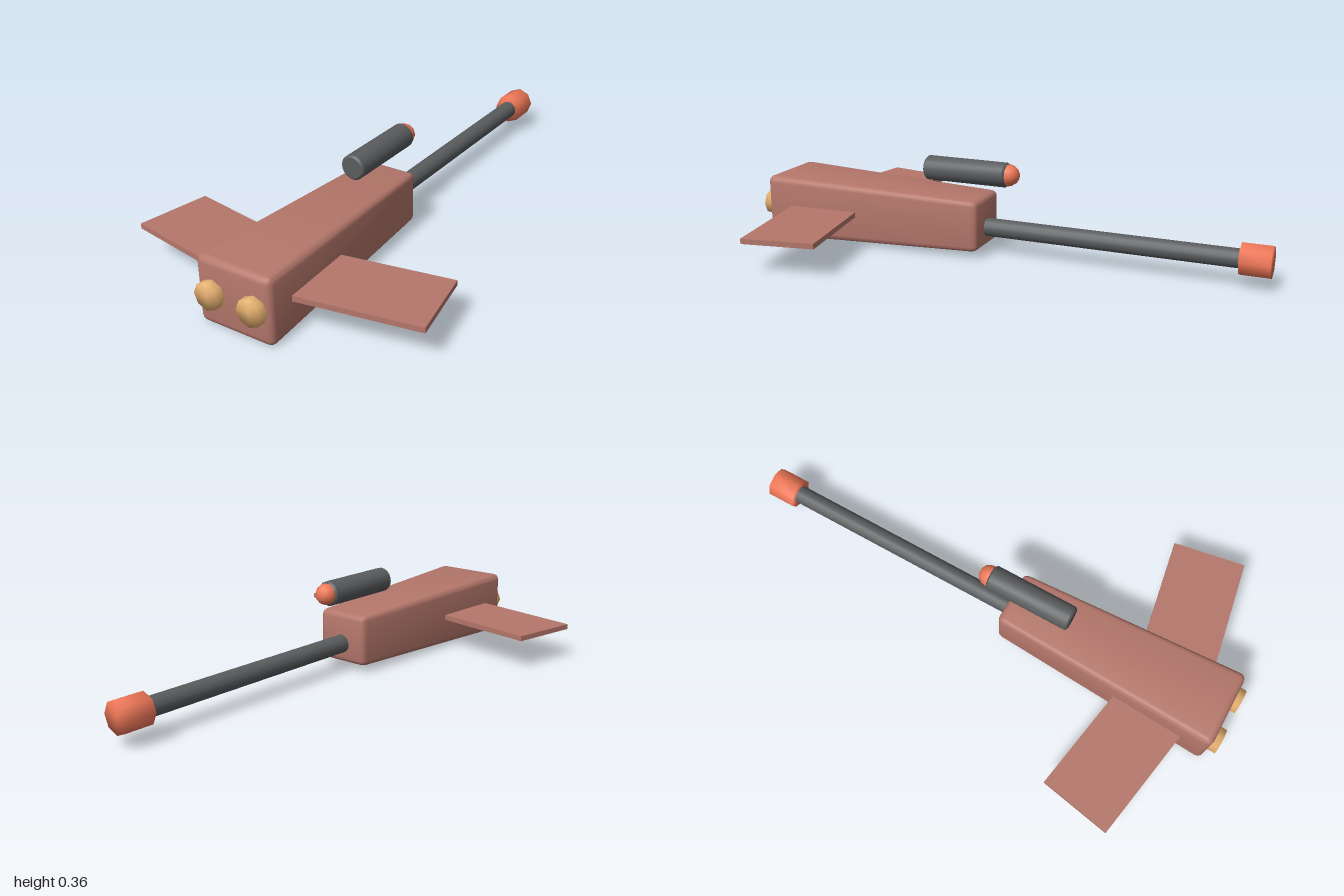
import * as THREE from 'three';
import { mergeVertices, toCreasedNormals } from 'three/addons/utils/BufferGeometryUtils.js';
import { RoundedBoxGeometry } from 'three/addons/geometries/RoundedBoxGeometry.js';

const material = (color) => new THREE.MeshStandardMaterial({ color });

// Low-sided cylinder along z whose rims are shaded smoothly over the caps
function softDrum(radius, length) {
  const g = new THREE.CylinderGeometry(radius, radius, length, 8).rotateX(Math.PI / 2);
  g.deleteAttribute('uv');
  g.deleteAttribute('normal');
  const merged = mergeVertices(g);
  merged.computeVertexNormals();
  return merged;
}

export function createModel() {
  const model = new THREE.Group();
  model.name = 'craft';
  const red = material(0xb5776b);
  const dark = material(0x5a5c5e);
  const orange = material(0xf07858);
  const yellow = material(0xe5b070);

  function add(name, geometry, mat, x, y, z) {
    const mesh = new THREE.Mesh(geometry, mat);
    mesh.name = name;
    mesh.position.set(x, y, z);
    model.add(mesh);
    return mesh;
  }

  // Body: bevelled box that narrows toward the back
  const length = 0.895;
  const body = new RoundedBoxGeometry(0.3, 0.25, length, 2, 0.025);
  const p = body.attributes.position;
  for (let i = 0; i < p.count; i++) {
    const t = p.getZ(i) / length + 0.5;
    p.setX(i, p.getX(i) * (0.71 + 0.29 * t));
    p.setY(i, p.getY(i) * (0.78 + 0.22 * t));
  }
  add('body', toCreasedNormals(body, 0.7), red, 0, 0.128, 0.5225);

  // Long barrel and its tip
  add('barrel', new THREE.CylinderGeometry(0.035, 0.035, 1.03, 16).rotateX(Math.PI / 2),
    dark, 0, 0.105, -0.385);
  add('barrelTip', softDrum(0.06, 0.11), orange, 0, 0.105, -0.945);

  // Floating tube above the body with slightly bevelled rims
  const r = 0.047, h = 0.168, b = 0.007;
  const profile = [[0, -h], [r - b, -h], [r, -h + b], [r, h - b], [r - b, h], [0, h]]
    .map(([x, y]) => new THREE.Vector2(x, y));
  const tube = new THREE.LatheGeometry(profile, 20).rotateX(Math.PI / 2);
  add('upperTube', toCreasedNormals(tube, 0.5), dark, 0, 0.317, 0.157);
  add('upperTubeTip', new THREE.SphereGeometry(0.042, 10, 8).rotateX(Math.PI / 2),
    orange, 0, 0.317, -0.014);

  // Mirrored wings and nozzles
  for (const [side, s] of [['left', 1], ['right', -1]]) {
    const wing = add(side + 'Wing', new THREE.BoxGeometry(0.5, 0.02, 0.28), red, s * 0.311, 0.13, 0.691);
    wing.rotation.y = s * Math.PI / 18;
    add(side + 'Nozzle', softDrum(0.05, 0.06), yellow, s * 0.085, 0.13, 0.97);
  }
  return model;
}
